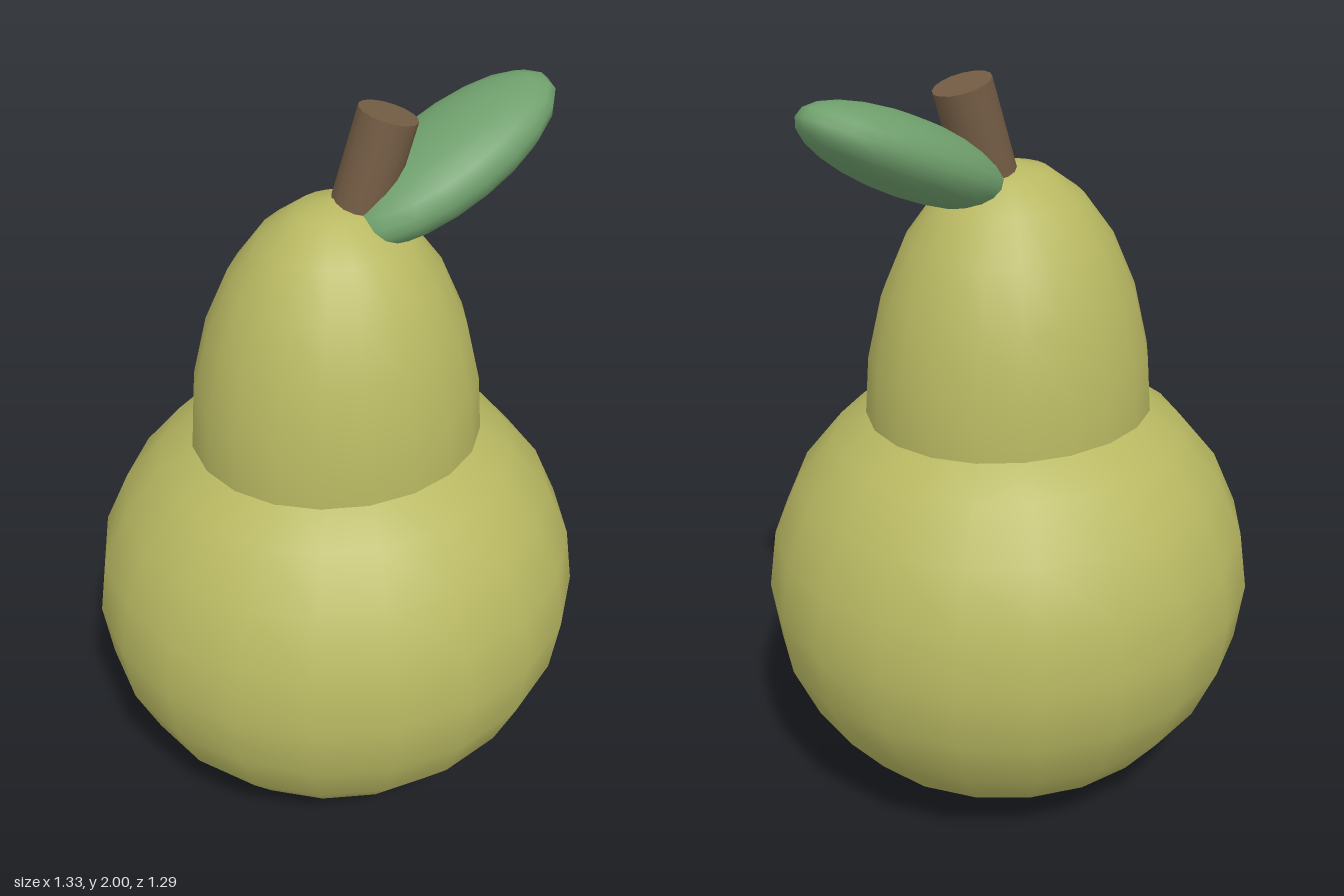
import * as THREE from 'three';

const material = (name, color) => {
  const m = new THREE.MeshStandardMaterial({ color });
  m.name = name;
  return m;
};

export function createModel() {
  const group = new THREE.Group();
  group.name = 'pear';
  const skin = material('pear skin green', 0xb8b862);
  const bark = material('stem brown', 0x735c44);
  const green = material('leaf green', 0x6f9f6c);

  const add = (name, geometry, mat, position) => {
    const mesh = new THREE.Mesh(geometry, mat);
    mesh.name = name;
    mesh.position.set(...position);
    group.add(mesh);
    return mesh;
  };
  // Sphere stretched to the given half-sizes
  const ellipsoid = (rx, ry, rz) => new THREE.SphereGeometry(1, 20, 12).scale(rx, ry, rz);

  // Fruit: a wide base with a tall neck rising out of it
  add('body', ellipsoid(0.665, 0.62, 0.645), skin, [0, 0.622, 0]);
  add('neck', ellipsoid(0.388, 0.68, 0.367), skin, [0, 1.1, 0]);

  // Stem: leans to the left and slightly forward, rooted in the neck
  const top = new THREE.Vector3(0.125, 1.98, 0.032);
  const axis = new THREE.Vector3(0.28, 1, 0.08).normalize();
  const length = 0.36;
  const centre = top.clone().addScaledVector(axis, -length / 2);
  const stem = add('stem', new THREE.CylinderGeometry(0.075, 0.075, length, 16), bark, centre.toArray());
  stem.quaternion.setFromUnitVectors(new THREE.Vector3(0, 1, 0), axis);

  // Leaf: a flattened ellipsoid rising outward
  const leaf = add('leaf', ellipsoid(0.328, 0.097, 0.163), green, [0.289, 1.829, 0.047]);
  leaf.rotation.z = 0.447;

  return group;
}
